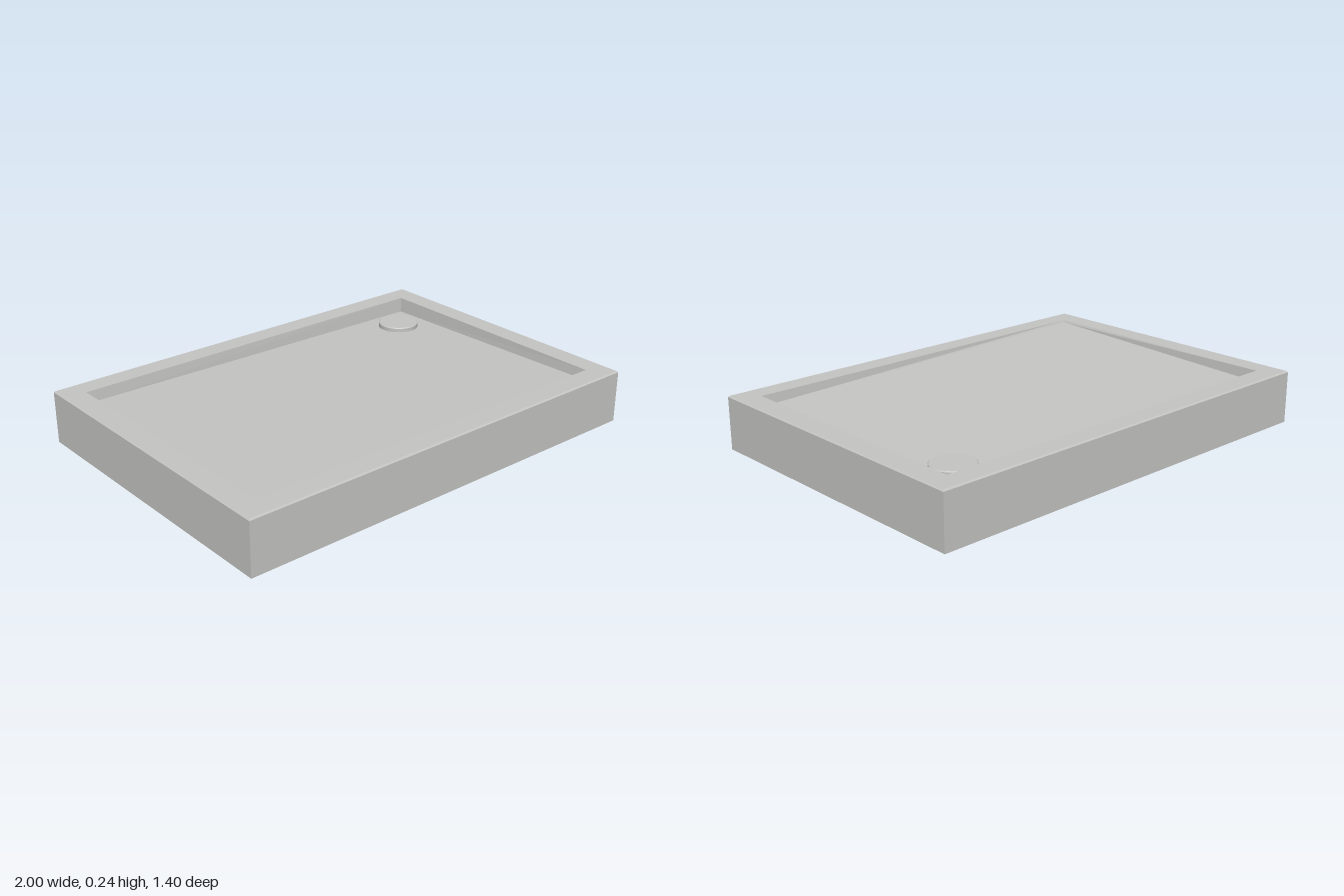
import * as THREE from 'three';

// Rectangular loop of four corners; y may be a number or one height per corner
function loop(hx, hz, y) {
  const ys = Array.isArray(y) ? y : [y, y, y, y];
  return [[-hx, ys[0], hz], [hx, ys[1], hz], [hx, ys[2], -hz], [-hx, ys[3], -hz]];
}

// Flat-faced skin joining successive loops, optionally closed at the last one
function skin(loops, capped) {
  const pos = [];
  const quad = (a, b, c, d) => pos.push(...a, ...b, ...c, ...a, ...c, ...d);
  for (let i = 0; i < loops.length - 1; i++) {
    for (let j = 0; j < 4; j++) {
      const k = (j + 1) % 4;
      quad(loops[i][j], loops[i][k], loops[i + 1][k], loops[i + 1][j]);
    }
  }
  if (capped) quad(...loops[loops.length - 1]);
  const geo = new THREE.BufferGeometry();
  geo.setAttribute('position', new THREE.Float32BufferAttribute(pos, 3));
  geo.computeVertexNormals();
  return geo;
}

export function createModel() {
  const group = new THREE.Group();
  group.name = 'showerTray';
  const enamel = new THREE.MeshStandardMaterial({ color: 0xc4c4c2, side: THREE.DoubleSide });
  enamel.name = 'enamelGrey';

  const add = (name, geo) => {
    const mesh = new THREE.Mesh(geo, enamel);
    mesh.name = name;
    group.add(mesh);
    return mesh;
  };

  const height = 0.24, bevel = 0.006;
  // Floor falls towards the back left corner, where the drain sits
  const floor = loop(0.895, 0.595, [0.23, 0.195, 0.17, 0.19]);
  const rimInner = loop(0.9, 0.6, height);

  // Outer walls, open underneath, with a fine bevel and flat rim
  add('outerWallsAndRim', skin([
    loop(1, 0.7, 0),
    loop(1, 0.7, height - bevel),
    loop(1 - bevel, 0.7 - bevel, height),
    rimInner,
  ], false));

  // Sunken basin: short side walls and sloping floor
  add('basin', skin([rimInner, floor], true));

  // Round drain cover with a softened top edge
  const profile = [[0, 0.166], [0.093, 0.166], [0.095, 0.17], [0.095, 0.196], [0.091, 0.2], [0, 0.2]]
    .map(([r, y]) => new THREE.Vector2(r, y));
  const cover = new THREE.LatheGeometry(profile, 48).toNonIndexed();
  cover.computeVertexNormals();
  add('drainCover', cover).position.set(0.74, 0, -0.445);

  return group;
}
